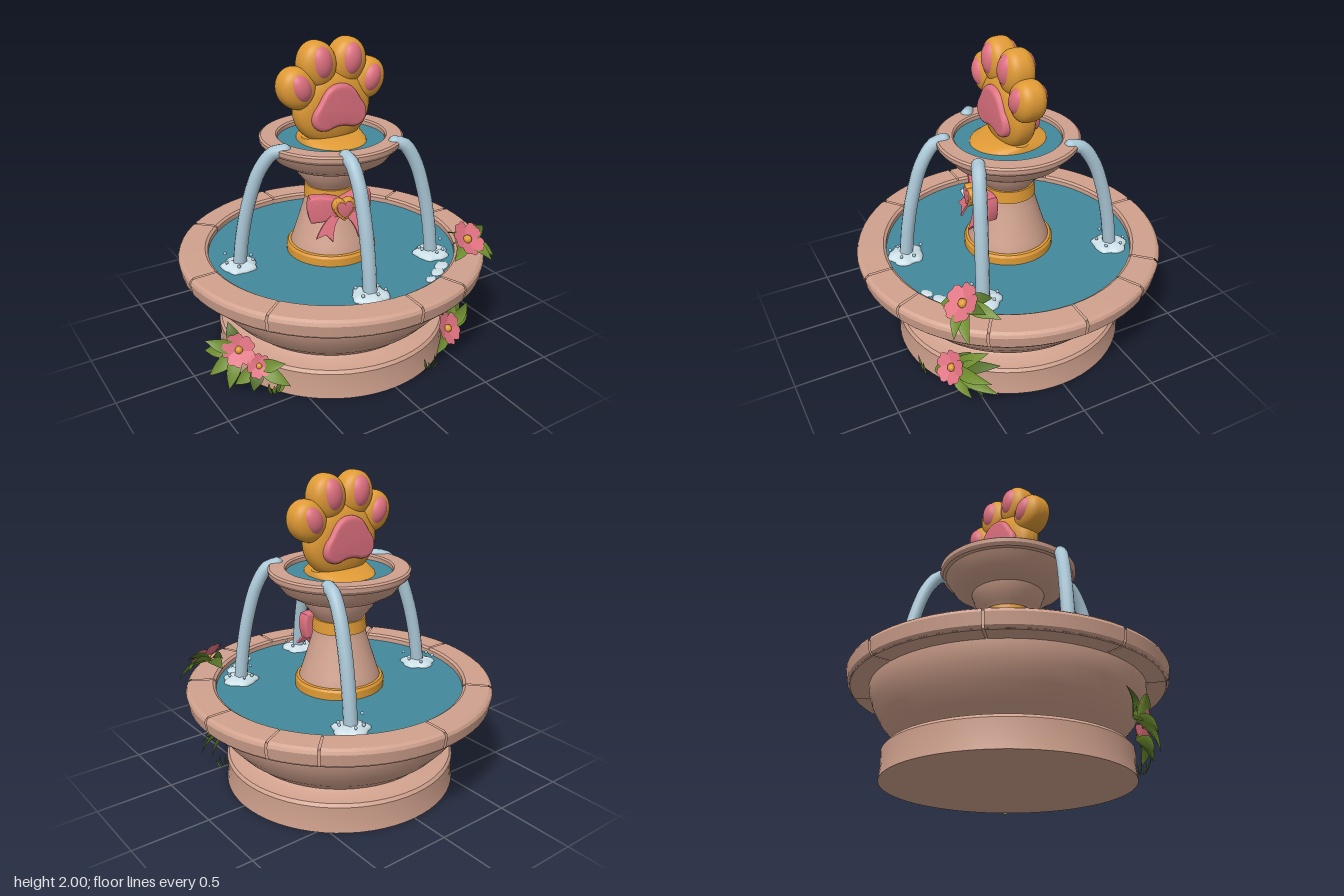
import * as THREE from 'three';
import { toCreasedNormals } from 'three/addons/utils/BufferGeometryUtils.js';

const mat = (name, color, side = THREE.FrontSide) => {
  const m = new THREE.MeshStandardMaterial({ color, side });
  m.name = name;
  return m;
};
const V = (x, y, z) => new THREE.Vector3(x, y, z);

export function createModel() {
  const D = THREE.DoubleSide;
  const stone = mat('stone', 0xd0a18d), gold = mat('gold', 0xdf9a35), pink = mat('pink', 0xdf7180, D);
  const water = mat('water', 0x42899b), stream = mat('stream', 0xa9c6d5), foam = mat('foam', 0xcfe2ea);
  const leafGreen = mat('leaf green', 0x708f30, D), darkGreen = mat('dark green', 0x536f27, D);

  const model = new THREE.Group();
  const add = (name, geo, m, p = [0, 0, 0], parent = model) => {
    const mesh = new THREE.Mesh(geo, m);
    mesh.name = name;
    mesh.position.set(...p);
    parent.add(mesh);
    return mesh;
  };
  const lathe = (pts, start = 0, len = Math.PI * 2, seg = 64) => toCreasedNormals(
    new THREE.LatheGeometry(pts.map(p => new THREE.Vector2(...p)), seg, start, len), 0.5);

  // Plinth and lower basin
  add('basin', lathe([[0, 0], [0.75, 0], [0.742, 0.08], [0.745, 0.17], [0.73, 0.19], [0.64, 0.2], [0.615, 0.215],
    [0.635, 0.235], [0.69, 0.28], [0.76, 0.36], [0.81, 0.45], [0.835, 0.52], [0.84, 0.57]]), stone);

  // Rim: a continuous core with separate blocks, leaving narrow joints
  add('rimCore', lathe([[0.8, 0.565], [0.955, 0.565], [0.955, 0.668], [0.8, 0.668], [0.8, 0.565]]), stone);
  const joints = [0, 0.38, 0.98, 1.57, 2.06, 2.37, 3.14, 3.89, 4.71, 5.36, 6.283];
  const rimProfile = [[0.79, 0.58], [0.81, 0.56], [0.95, 0.56], [0.968, 0.58], [0.98, 0.65], [0.972, 0.668], [0.955, 0.68],
    [0.81, 0.682], [0.793, 0.67], [0.79, 0.58]];
  for (let i = 0; i < joints.length - 1; i++) {
    const len = joints[i + 1] - joints[i];
    add('rimBlock', lathe(rimProfile, joints[i] + 0.007, len - 0.014, Math.max(4, Math.round(len * 10))), stone);
  }
  add('basinWater', new THREE.CircleGeometry(0.8, 64).rotateX(-Math.PI / 2), water, [0, 0.64, 0]);

  // Central column with gold bands
  add('column', lathe([[0.27, 0.62], [0.265, 0.69], [0.24, 0.76], [0.205, 0.87], [0.175, 0.97], [0.16, 1.03], [0.155, 1.1],
    [0.175, 1.13], [0.215, 1.18], [0.235, 1.24]]), stone);
  add('lowerBand', lathe([[0.285, 0.62], [0.285, 0.69], [0.275, 0.705], [0.25, 0.71]]), gold);
  add('upperBand', lathe([[0.15, 1.02], [0.172, 1.022], [0.165, 1.1], [0.15, 1.105]]), gold);

  // Upper bowl
  add('upperBowl', lathe([[0, 1.235], [0.24, 1.235], [0.3, 1.25], [0.355, 1.285], [0.39, 1.335], [0.405, 1.36], [0.425, 1.365],
    [0.44, 1.385], [0.442, 1.41], [0.43, 1.42], [0.34, 1.42], [0.33, 1.41], [0.33, 1.36]]), stone);
  add('upperWater', new THREE.CircleGeometry(0.332, 48).rotateX(-Math.PI / 2), water, [0, 1.385, 0]);

  // Paw: rounded lobes, with pads passing through to both faces
  const paw = new THREE.Group();
  paw.name = 'paw';
  model.add(paw);
  const puff = (name, m, x, y, rx, ry, rz, tilt = 0) => {
    const g = new THREE.SphereGeometry(1, 40, 28), p = g.attributes.position;
    for (let i = 0; i < p.count; i++) {
      const z = p.getZ(i);
      p.setXYZ(i, p.getX(i) * rx, p.getY(i) * ry, Math.sign(z) * Math.abs(z) ** 0.65 * rz);
    }
    g.computeVertexNormals();
    add(name, g, m, [x, y, 0], paw).rotation.z = tilt;
  };
  puff('palm', gold, 0, 1.59, 0.255, 0.23, 0.11);
  for (const s of [-1, 1]) {
    puff('innerToe', gold, s * 0.104, 1.86, 0.118, 0.14, 0.098, -s * 0.1);
    puff('innerToePad', pink, s * 0.102, 1.875, 0.08, 0.112, 0.116, -s * 0.1);
    puff('outerToe', gold, s * 0.243, 1.735, 0.115, 0.13, 0.098, -s * 0.4);
    puff('outerToePad', pink, s * 0.243, 1.745, 0.075, 0.102, 0.116, -s * 0.4);
  }
  const extrude = (shape, depth, bevel) => {
    const g = new THREE.ExtrudeGeometry(shape, { depth, bevelEnabled: bevel > 0, bevelSize: bevel, bevelThickness: bevel, bevelSegments: 4, curveSegments: 14 });
    return toCreasedNormals(g.translate(0, 0, -depth / 2), 0.7);
  };
  const padShape = new THREE.Shape();
  padShape.moveTo(0, 1.725);
  padShape.bezierCurveTo(0.09, 1.725, 0.1, 1.65, 0.145, 1.6);
  padShape.bezierCurveTo(0.19, 1.53, 0.13, 1.48, 0.07, 1.505);
  padShape.bezierCurveTo(0.03, 1.52, -0.03, 1.52, -0.07, 1.505);
  padShape.bezierCurveTo(-0.13, 1.48, -0.19, 1.53, -0.145, 1.6);
  padShape.bezierCurveTo(-0.1, 1.65, -0.09, 1.725, 0, 1.725);
  add('palmPad', extrude(padShape, 0.2, 0.025), pink, [0, 0, 0], paw);
  const foot = new THREE.CylinderGeometry(0.2, 0.215, 0.07, 40, 3), fp = foot.attributes.position;
  for (let i = 0; i < fp.count; i++) fp.setZ(i, fp.getZ(i) * (fp.getY(i) > 0.03 ? 0.5 : 1.16));
  foot.computeVertexNormals();
  add('pawFoot', foot, gold, [0, 1.385, 0], paw);

  // Bow with heart
  const bow = new THREE.Group();
  bow.name = 'bow';
  bow.position.set(-0.05, 1.01, 0.195);
  bow.rotation.y = -0.15;
  model.add(bow);
  for (const s of [-1, 1]) {
    const loop = new THREE.Shape();
    loop.moveTo(0, -0.03);
    loop.quadraticCurveTo(s * 0.1, -0.085, s * 0.18, -0.075);
    loop.quadraticCurveTo(s * 0.205, 0, s * 0.185, 0.06);
    loop.quadraticCurveTo(s * 0.1, 0.07, 0, 0.03);
    add('bowLoop', extrude(loop, 0.05, 0.015), pink, [0, 0.005, 0], bow).rotation.y = s * 0.2;
    const tail = new THREE.Shape();
    tail.moveTo(0, 0);
    tail.quadraticCurveTo(s * 0.12, -0.04, s * 0.19, -0.16);
    tail.lineTo(s * 0.125, -0.145);
    tail.lineTo(s * 0.085, -0.195);
    tail.quadraticCurveTo(s * 0.07, -0.08, 0, -0.04);
    add('bowTail', extrude(tail, 0.015, 0), pink, [0, -0.01, 0.005], bow).rotation.x = -0.4;
  }
  const heart = k => {
    const h = new THREE.Shape();
    h.moveTo(0, 0.035 * k);
    h.bezierCurveTo(0.02 * k, 0.08 * k, 0.085 * k, 0.06 * k, 0.06 * k, 0);
    h.quadraticCurveTo(0.04 * k, -0.04 * k, 0, -0.07 * k);
    h.quadraticCurveTo(-0.04 * k, -0.04 * k, -0.06 * k, 0);
    h.bezierCurveTo(-0.085 * k, 0.06 * k, -0.02 * k, 0.08 * k, 0, 0.035 * k);
    return h;
  };
  add('heartFrame', extrude(heart(0.95), 0.03, 0.01), gold, [0, 0.005, 0.04], bow);
  add('heartInset', extrude(heart(0.72), 0.02, 0.006), pink, [0, 0.005, 0.058], bow);

  // Four falling streams with foam and droplets: start x,z and end x,z
  const jets = [[-0.38, 0.1, -0.625, -0.07], [-0.13, 0.37, -0.14, 0.66], [0.25, 0.32, 0.49, 0.42], [0.29, -0.27, 0.35, -0.56]];
  for (const [x0, z0, x1, z1] of jets) {
    const at = (t, y) => V(x0 + (x1 - x0) * t, y, z0 + (z1 - z0) * t);
    const path = new THREE.CatmullRomCurve3([at(0, 1.405), at(0.22, 1.39), at(0.5, 1.28), at(0.74, 1.08), at(0.9, 0.86), at(1, 0.63)]);
    add('stream', new THREE.TubeGeometry(path, 28, 0.042, 12), stream);
    add('streamLip', new THREE.SphereGeometry(0.042, 12, 8), stream, [x0, 1.405, z0]);
    const g = new THREE.SphereGeometry(0.11, 28, 14), p = g.attributes.position;
    for (let i = 0; i < p.count; i++) {
      const a = Math.atan2(p.getZ(i), p.getX(i)), k = 1 + 0.07 * Math.sin(a * 5 + x0 * 9) + 0.04 * Math.sin(a * 9);
      p.setXYZ(i, p.getX(i) * k, p.getY(i) * 0.32 * k, p.getZ(i) * k);
    }
    g.computeVertexNormals();
    add('foam', g, foam, [x1, 0.642, z1]);
    for (let i = 0; i < 6; i++) {
      const a = i * 1.05 + x0 * 3, r = 0.075 + 0.012 * (i % 3);
      add('droplet', new THREE.SphereGeometry(0.011, 8, 6), stream, [x1 + r * Math.cos(a), 0.675 + 0.015 * (i % 3), z1 + r * Math.sin(a)]);
    }
  }
  for (const [x, z, r] of [[0.28, 0.69, 0.035], [0.37, 0.64, 0.045], [0.44, 0.59, 0.05]])
    add('foamPatch', new THREE.SphereGeometry(r, 14, 8).scale(1.2, 0.25, 0.8).rotateY(0.5), foam, [x, 0.64, z]);

  // Pointed, creased leaf running from base to tip
  const leaf = (name, base, tip, width, out, m, bend = 0.12) => {
    const b = V(...base), dir = V(...tip).sub(b), len = dir.length();
    const side = dir.clone().cross(out).normalize(), up = side.clone().cross(dir).normalize();
    const g = new THREE.PlaneGeometry(1, 1, 2, 8), p = g.attributes.position;
    for (let i = 0; i < p.count; i++) {
      const t = p.getY(i) + 0.5, x = p.getX(i), w = width * (Math.sin(Math.PI * t ** 0.85) + 0.12 * (1 - t));
      const q = b.clone().addScaledVector(dir, t).addScaledVector(side, x * w)
        .addScaledVector(up, bend * len * Math.sin(Math.PI * t) + Math.abs(x) * w * 0.35);
      p.setXYZ(i, q.x, q.y, q.z);
    }
    g.computeVertexNormals();
    add(name, g, m);
  };

  // Five-petalled flower facing a direction
  const petal = new THREE.Shape();
  petal.moveTo(0, 0);
  petal.bezierCurveTo(0.5, 0.25, 0.65, 0.95, 0.2, 1);
  petal.quadraticCurveTo(0, 0.9, -0.2, 1);
  petal.bezierCurveTo(-0.65, 0.95, -0.5, 0.25, 0, 0);
  const flower = (pos, size, face, leaves) => {
    const f = new THREE.Group(), out = V(...face).normalize();
    f.name = 'flower';
    f.position.set(...pos);
    f.quaternion.setFromUnitVectors(V(0, 0, 1), out);
    model.add(f);
    for (let i = 0; i < 5; i++) {
      const g = new THREE.ShapeGeometry(petal, 8).scale(size, size, 1), p = g.attributes.position;
      for (let j = 0; j < p.count; j++) p.setZ(j, 0.25 * p.getY(j) + 0.002 * i);
      g.computeVertexNormals();
      add('petal', g, pink, [0, 0, 0], f).rotation.z = i * Math.PI * 0.4 + 0.2;
    }
    add('flowerCentre', new THREE.SphereGeometry(size * 0.24, 12, 8), gold, [0, 0, size * 0.12], f);
    const base = V(...pos).addScaledVector(out, -0.03).toArray();
    leaves.forEach((tip, i) => leaf('leaf', base, tip, 0.08, out, i % 3 === 2 ? darkGreen : leafGreen));
  };
  flower([0.62, 0.775, 0.6], 0.115, [0.15, 0.7, 0.68],
    [[0.83, 0.77, 0.47], [0.81, 0.64, 0.66], [0.62, 0.75, 0.42], [0.47, 0.7, 0.68], [0.74, 0.65, 0.72], [0.8, 0.81, 0.55]]);
  flower([0.48, 0.19, 0.63], 0.105, [0.3, 0.45, 0.75],
    [[0.64, 0.36, 0.46], [0.79, 0.16, 0.47], [0.72, 0.31, 0.42], [0.65, 0.05, 0.58], [0.35, 0.08, 0.7], [0.54, 0.32, 0.53], [0.76, 0.23, 0.5]]);
  flower([-0.8, 0.27, 0.25], 0.1, [-0.45, 0.4, 0.75],
    [[-0.97, 0.33, 0.14], [-0.98, 0.12, 0.2], [-0.82, 0.42, 0.15], [-0.9, 0.05, 0.3], [-0.94, 0.2, 0.05]]);
  flower([-0.72, 0.185, 0.35], 0.075, [-0.35, 0.4, 0.8],
    [[-0.6, 0.22, 0.46], [-0.59, 0.08, 0.5], [-0.78, 0.04, 0.38], [-0.86, 0.07, 0.3]]);

  // Grass tufts at the foot of the plinth
  for (const [x, z, h] of [[0.27, 0.72, 0.13], [0.6, 0.49, 0.09], [-0.65, 0.42, 0.12]])
    for (const [i, dx] of [-0.06, -0.02, 0.025, 0.055].entries())
      leaf('grassBlade', [x + dx * 0.4, 0, z], [x + dx, h * (i % 2 ? 0.7 : 1), z + 0.03], 0.025, V(x, 0, z), i % 2 ? leafGreen : darkGreen, 0.05);

  return model;
}
